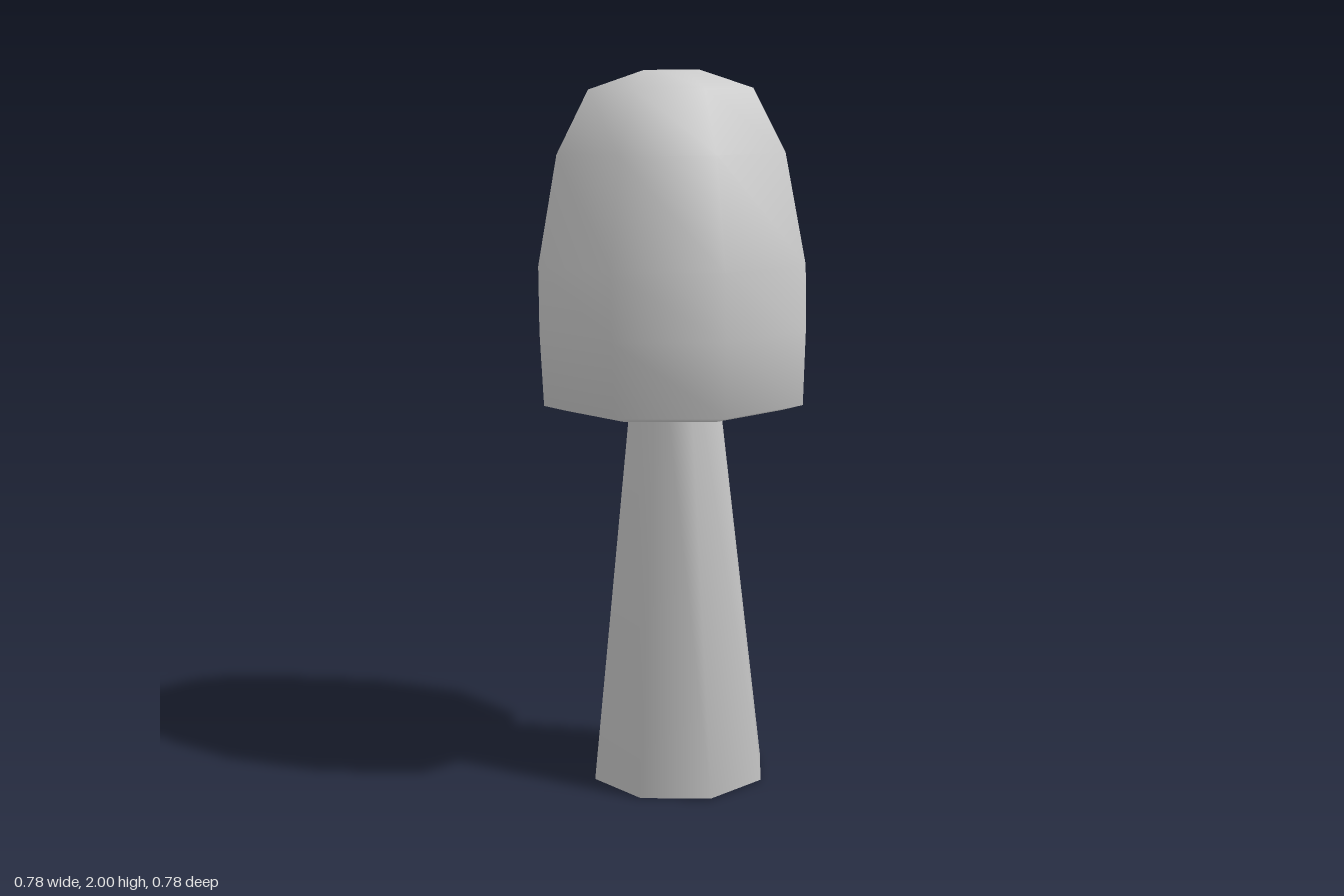
import * as THREE from 'three';

const SIDES = 8;

// Smooth eight-sided turned part from [radius, height] pairs, ordered bottom to top
function turned(name, profile) {
  const points = profile.map(([r, y]) => new THREE.Vector2(r, y));
  const material = new THREE.MeshStandardMaterial({ color: 0xcccccc });
  const mesh = new THREE.Mesh(new THREE.LatheGeometry(points, SIDES), material);
  mesh.name = name;
  return mesh;
}

export function createModel() {
  const mushroom = new THREE.Group();
  mushroom.name = 'mushroom';

  // Tapered stem running up into the hollow of the cap
  const stem = turned('stem', [
    [0, 0], [0.257, 0], [0.108, 1.32],
  ]);

  // Tall cap: hollow underside, thin rolled rim, bulging wall, flattened crown
  const cap = turned('cap', [
    [0, 1.3], [0.25, 1.26], [0.32, 1.08], [0.382, 1.098],
    [0.39, 1.3], [0.389, 1.48], [0.331, 1.776], [0.239, 1.946],
    [0.082, 1.996], [0, 1.996],
  ]);

  // The whole growth leans very slightly to one side
  const lean = new THREE.Group();
  lean.name = 'leaningBody';
  lean.add(stem, cap);
  lean.rotation.z = 0.011;
  lean.position.set(0.012, 0.003, 0);
  mushroom.add(lean);

  return mushroom;
}
